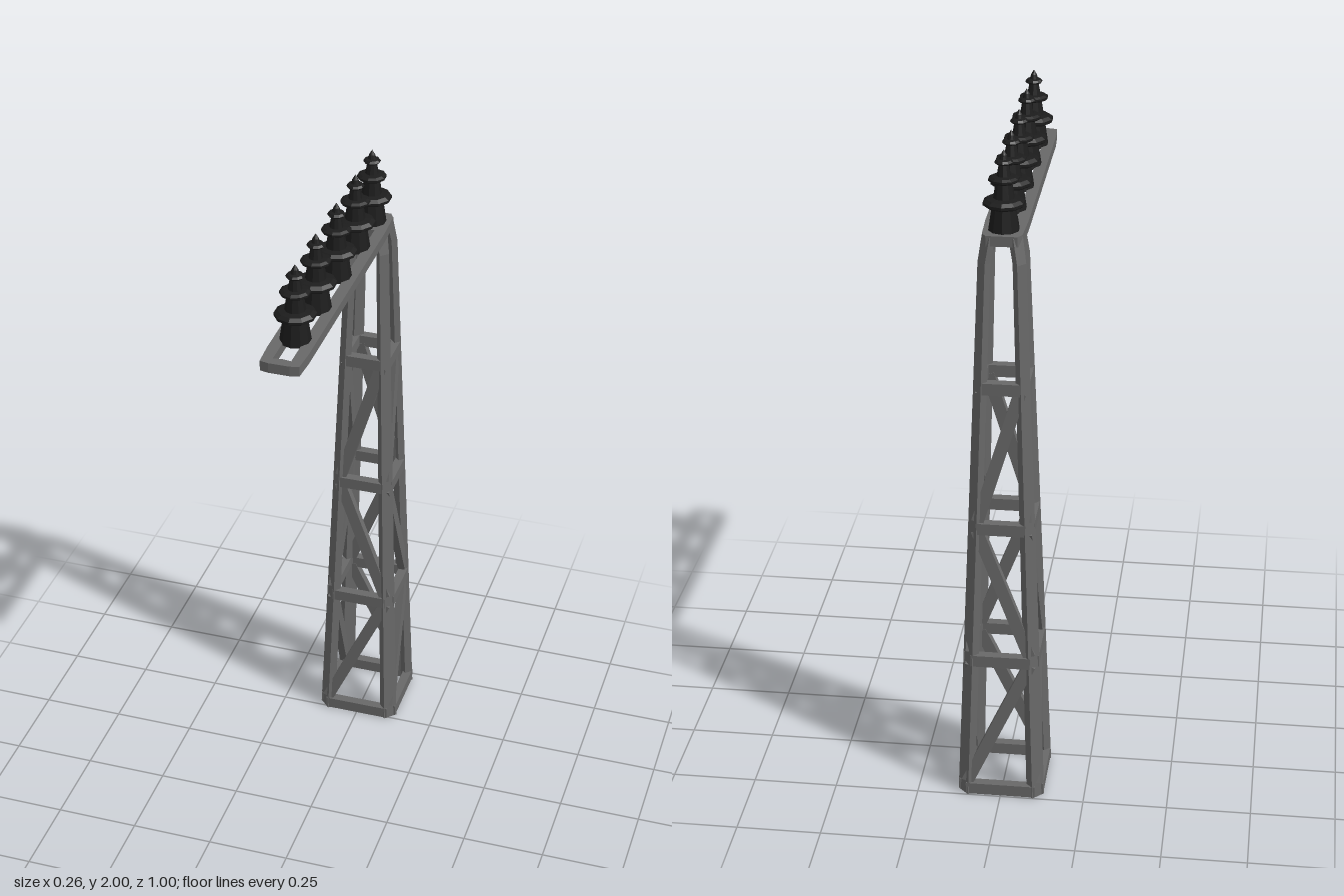
import * as THREE from 'three';

const V = (x, y, z) => new THREE.Vector3(x, y, z);
const steel = new THREE.MeshStandardMaterial({ color: 0x686868, flatShading: true });
const ceramic = new THREE.MeshStandardMaterial({ color: 0x1c1c1c, flatShading: true });

const TOWER_Z = -0.37;
const BEND_Y = 1.69;
// outer half width of the tapering tower at height y
const half = (y) => 0.13 - 0.063 * (y / BEND_Y);

// Tapering bar from a to b; `out` is the direction its broad side faces
function beam(name, a, b, out, w0, d0, w1 = w0, d1 = d0) {
  const geo = new THREE.BoxGeometry(1, 1, 1);
  const v = out.clone().normalize();
  const u = b.clone().sub(a).cross(v).normalize();
  const pos = geo.attributes.position;
  for (let i = 0; i < pos.count; i++) {
    const t = pos.getY(i) + 0.5;
    const p = a.clone().lerp(b, t)
      .addScaledVector(u, pos.getX(i) * THREE.MathUtils.lerp(w0, w1, t))
      .addScaledVector(v, pos.getZ(i) * THREE.MathUtils.lerp(d0, d1, t));
    pos.setXYZ(i, p.x, p.y, p.z);
  }
  geo.computeVertexNormals();
  const mesh = new THREE.Mesh(geo, steel);
  mesh.name = name;
  return mesh;
}

// One tower side: corner leg, cross rails and a brace in each panel
function towerSide() {
  const side = new THREE.Group();
  side.name = 'towerSide';

  const diagonal = V(1, 0, 1);
  const foot = half(0) - 0.026, bend = half(BEND_Y) - 0.018;
  side.add(beam('leg', V(foot, 0, foot), V(bend, BEND_Y, bend), diagonal, 0.046, 0.027, 0.032, 0.02));
  side.add(beam('legTop', V(bend, BEND_Y, bend), V(0.037, 1.765, 0.037), diagonal, 0.032, 0.02, 0.034, 0.022));

  const levels = [0.02, 0.455, 0.885, 1.32];
  for (const y of levels) {
    const x = half(y) - 0.025, z = half(y) - 0.016;
    side.add(beam('crossRail', V(-x, y, z), V(x, y, z), V(0, 0, 1), 0.036, 0.028));
  }

  // braces alternate direction from panel to panel
  for (let i = 0; i < 3; i++) {
    const y0 = levels[i] + 0.02, y1 = levels[i + 1] - 0.01;
    const s = i % 2 ? -1 : 1;
    const h0 = half(y0) - 0.028, h1 = half(y1) - 0.028;
    side.add(beam('brace', V(-s * h0, y0, h0 + 0.008), V(s * h1, y1, h1 + 0.008), V(0, 0.037, 1), 0.036, 0.024));
  }
  return side;
}

// Flat arm with a long slot, overhanging to the front
function crossArm() {
  const outline = new THREE.Shape([
    [-0.044, -0.425], [0.044, -0.425], [0.056, -0.405], [0.06, -0.3], [0.06, 0.42],
    [0.056, 0.494], [0.03, 0.5], [-0.03, 0.5], [-0.056, 0.494], [-0.06, 0.42],
    [-0.06, -0.3], [-0.056, -0.405],
  ].map(([x, z]) => new THREE.Vector2(x, z)));
  outline.holes.push(new THREE.Path([
    [-0.026, -0.31], [-0.026, 0.472], [0, 0.468], [0.026, 0.472], [0.026, -0.31],
  ].map(([x, z]) => new THREE.Vector2(x, z))));
  const geo = new THREE.ExtrudeGeometry(outline, { depth: 0.03, bevelEnabled: false });
  geo.rotateX(Math.PI / 2);
  const arm = new THREE.Mesh(geo, steel);
  arm.name = 'crossArm';
  arm.position.y = 1.77;
  return arm;
}

// Stacked insulator profile: radius, height
const insulatorProfile = [
  [0, 1.765], [0.045, 1.765], [0.034, 1.838], [0.05, 1.838], [0.059, 1.844],
  [0.059, 1.852], [0.048, 1.86], [0.03, 1.863], [0.023, 1.908], [0.036, 1.908],
  [0.043, 1.913], [0.043, 1.919], [0.034, 1.924], [0.02, 1.926], [0.014, 1.958],
  [0.022, 1.96], [0.026, 1.965], [0.021, 1.971], [0.012, 1.973], [0.009, 1.985], [0, 2],
].map(([r, y]) => new THREE.Vector2(r, y));

export function createModel() {
  const model = new THREE.Group();
  model.name = 'pylon';

  const tower = new THREE.Group();
  tower.name = 'tower';
  tower.position.z = TOWER_Z;
  for (let i = 0; i < 4; i++) {
    const side = towerSide();
    side.rotation.y = i * Math.PI / 2;
    tower.add(side);
  }
  model.add(tower, crossArm());

  const insulatorGeo = new THREE.LatheGeometry(insulatorProfile, 10);
  for (const z of [-0.367, -0.2, -0.018, 0.172, 0.355]) {
    const insulator = new THREE.Mesh(insulatorGeo, ceramic);
    insulator.name = 'insulator';
    insulator.position.z = z;
    model.add(insulator);
  }
  return model;
}
